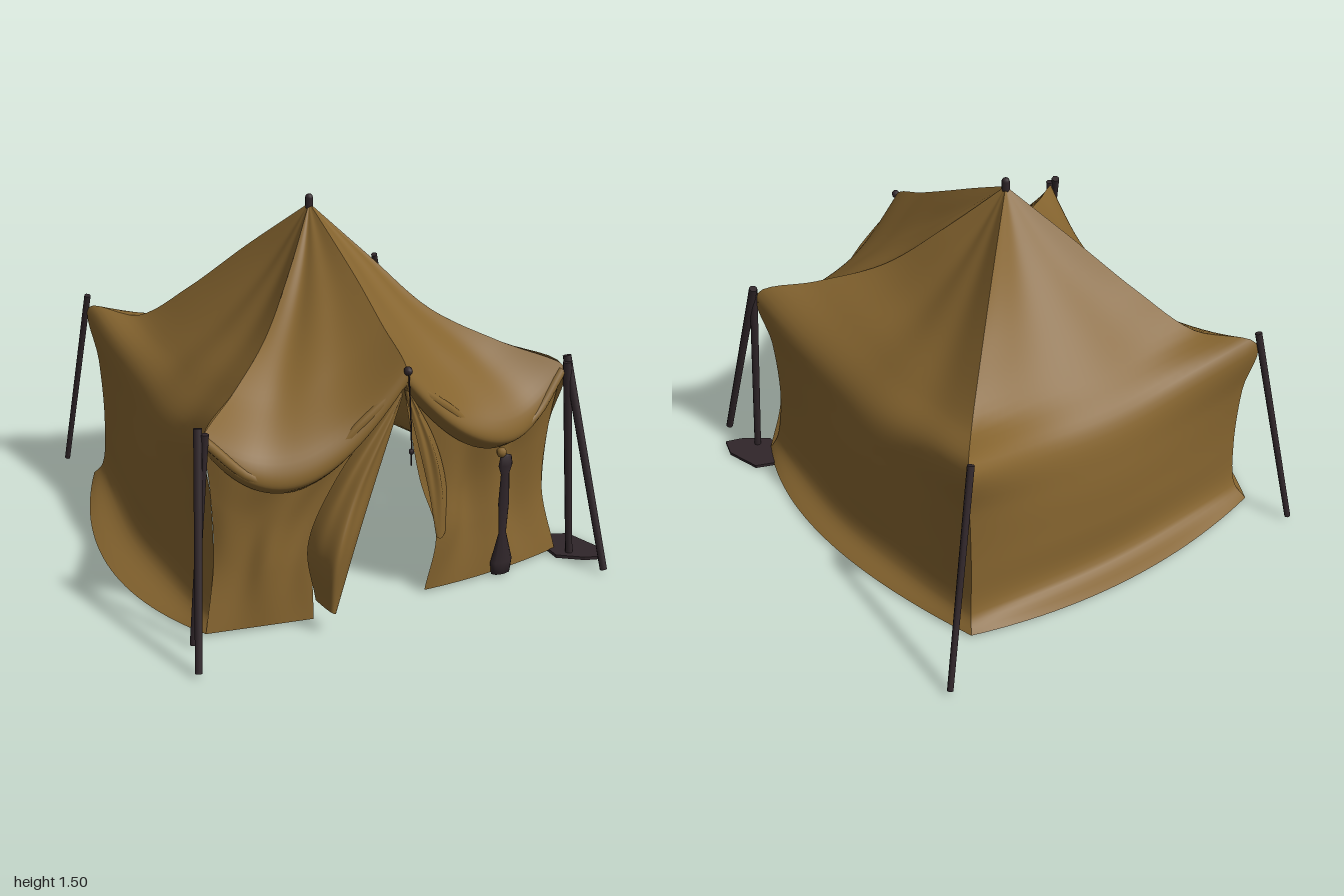
import * as THREE from 'three';

const V = ([x, y, z]) => new THREE.Vector3(x, y, z);
const mirror = (pts) => pts.map(([x, y, z]) => [-x, y, z]);

export function createModel() {
  const group = new THREE.Group();
  group.name = 'tent';
  const canvas = new THREE.MeshStandardMaterial({ color: 0x85642f, side: THREE.DoubleSide });
  canvas.name = 'brown canvas';
  const wood = new THREE.MeshStandardMaterial({ color: 0x30262a });
  wood.name = 'dark wood';

  function add(name, geometry, material, position = [0, 0, 0]) {
    const mesh = new THREE.Mesh(geometry, material);
    mesh.name = name;
    mesh.position.set(...position);
    group.add(mesh);
    return mesh;
  }

  // Cloth panel swept from profile a, through the middle profile m, to profile b
  function cloth(name, a, m, b, fold = 0, waves = 3, nu = 28, nv = 48) {
    const [ca, cm, cb] = [a, m, b].map((p) => new THREE.CatmullRomCurve3(p.map(V), false, 'centripetal'));
    const pos = [], index = [];
    for (let j = 0; j <= nv; j++) {
      const v = j / nv;
      const pa = ca.getPoint(v), pm = cm.getPoint(v), pb = cb.getPoint(v);
      for (let i = 0; i <= nu; i++) {
        const u = i / nu;
        const p = pa.clone().multiplyScalar((1 - u) * (1 - 2 * u))
          .addScaledVector(pm, 4 * u * (1 - u)).addScaledVector(pb, u * (2 * u - 1));
        // soft pleats that fade out at the edges
        const d = fold * Math.sin(waves * Math.PI * (u - 0.5) * (1.3 - 0.6 * v) + 2 * v)
          * Math.sin(Math.PI * u) * Math.sin(Math.PI * v);
        const out = new THREE.Vector3(p.x, 0, p.z).normalize();
        p.addScaledVector(out, d);
        pos.push(p.x, p.y, p.z);
        if (i < nu && j < nv) {
          const k = j * (nu + 1) + i, n = k + nu + 1;
          index.push(k, n, k + 1, k + 1, n, n + 1);
        }
      }
    }
    const g = new THREE.BufferGeometry();
    g.setAttribute('position', new THREE.Float32BufferAttribute(pos, 3));
    g.setIndex(index);
    g.computeVertexNormals();
    return add(name, g, canvas);
  }

  // Profiles from the peak down to the hem; corners are drawn in below the eaves
  const peak = [-0.02, 1.46, 0.02];
  const frontHip = [peak, [0.18, 1.25, 0.18], [0.37, 1.05, 0.36], [0.59, 0.94, 0.56], [0.79, 0.86, 0.73]];
  const frontPost = [[0.755, 0.6, 0.7], [0.745, 0.3, 0.69], [0.77, 0.08, 0.71], [0.8, 0.015, 0.73]];
  const frontLeft = [...frontHip, ...frontPost];
  const frontRight = [peak, ...mirror(frontLeft.slice(1))];
  const backLeft = [peak, [0.19, 1.24, -0.19], [0.38, 1.02, -0.38], [0.55, 0.855, -0.56], [0.71, 0.845, -0.77],
    [0.685, 0.6, -0.74], [0.675, 0.3, -0.73], [0.69, 0.08, -0.745], [0.72, 0.015, -0.79]];
  const backRight = [peak, ...mirror(backLeft.slice(1)).map(([x, y, z]) => [x - 0.025, y, z])];
  const leftMid = [peak, [0.19, 1.19, 0], [0.38, 0.97, 0], [0.56, 0.81, 0], [0.69, 0.68, 0],
    [0.74, 0.5, 0], [0.775, 0.28, 0], [0.81, 0.08, 0.02], [0.91, 0.015, 0.06]];
  const rightMid = [peak, ...mirror(leftMid.slice(1, 8)), [-0.97, 0.015, 0.04]];
  const backMid = [peak, [0, 1.2, -0.19], [0, 1, -0.38], [0, 0.83, -0.56], [0, 0.7, -0.7],
    [0, 0.5, -0.75], [0, 0.28, -0.77], [0, 0.07, -0.79], [0, 0.015, -0.9]];

  cloth('leftSide', frontLeft, leftMid, backLeft, 0.014, 4);
  cloth('backSide', backLeft, backMid, backRight, 0.012, 3);
  cloth('rightSide', backRight, rightMid, frontRight, 0.014, 4);

  // Front roof: two halves meeting at the ridge, drooping into swags
  const ridge = [peak, [-0.01, 1.36, 0.22], [0, 1.25, 0.43], [0, 1.14, 0.64], [0, 1.04, 0.84], [0, 0.98, 0.85], [0, 0.95, 0.81]];
  const swag = [peak, [0.1, 1.28, 0.2], [0.2, 1.1, 0.4], [0.33, 0.91, 0.62], [0.43, 0.73, 0.81], [0.44, 0.64, 0.84], [0.42, 0.59, 0.79]];
  const hipL = [...frontHip, [0.785, 0.82, 0.726], [0.78, 0.79, 0.722]];
  cloth('frontRoofLeft', ridge, swag, hipL, 0.016, 3);
  cloth('frontRoofRight', [peak, ...mirror(hipL.slice(1))], [peak, ...mirror(swag.slice(1))], ridge, 0.016, 3);

  // Rolled edge of the porch
  for (const s of [1, -1]) {
    const path = new THREE.CatmullRomCurve3([[0, 0.98, 0.83], [s * 0.18, 0.84, 0.83], [s * 0.44, 0.63, 0.81],
      [s * 0.62, 0.68, 0.78], [s * 0.785, 0.84, 0.725]].map(V));
    add(s > 0 ? 'porchRollLeft' : 'porchRollRight', new THREE.TubeGeometry(path, 24, 0.02, 8), canvas);
  }

  // Front walls either side of the doorway
  const wallEdge = [[0.79, 0.85, 0.725], ...frontPost.slice(0, 2), frontPost[3]];
  cloth('frontWallLeft',
    [[0.01, 0.95, 0.8], [0.1, 0.52, 0.79], [0.17, 0.27, 0.81], [0.13, 0.015, 0.8]],
    [[0.43, 0.66, 0.78], [0.44, 0.45, 0.75], [0.45, 0.25, 0.76], [0.46, 0.015, 0.79]],
    wallEdge, 0.025, 5);
  cloth('frontWallRight', mirror(wallEdge),
    [[-0.43, 0.66, 0.78], [-0.52, 0.45, 0.75], [-0.56, 0.25, 0.76], [-0.58, 0.015, 0.77]],
    [[-0.01, 0.95, 0.8], [-0.24, 0.55, 0.78], [-0.36, 0.27, 0.79], [-0.37, 0.01, 0.8]], 0.02, 4);

  // Door flaps turned back
  cloth('doorFlapRight',
    [[-0.01, 0.94, 0.81], [-0.28, 0.6, 0.8], [-0.4, 0.35, 0.81], [-0.38, 0.12, 0.84]],
    [[-0.01, 0.93, 0.83], [-0.24, 0.6, 0.9], [-0.35, 0.36, 0.96], [-0.36, 0.11, 0.93]],
    [[0, 0.92, 0.82], [-0.14, 0.58, 0.86], [-0.24, 0.35, 0.9], [-0.33, 0.09, 0.92]], 0.012, 4);
  cloth('doorFlapLeft',
    [[0.01, 0.93, 0.81], [0.07, 0.68, 0.83], [0.12, 0.48, 0.83], [0.16, 0.27, 0.83]],
    [[0.02, 0.93, 0.82], [0.12, 0.68, 0.83], [0.17, 0.48, 0.83], [0.19, 0.26, 0.83]],
    [[0.03, 0.93, 0.81], [0.16, 0.68, 0.8], [0.22, 0.48, 0.79], [0.23, 0.29, 0.79]], 0.008, 4);

  // Corner poles: name, top, foot, radius
  const poles = [
    ['frontRightPole', [-0.81, 0.9, 0.73], [-0.93, 0.02, 0.98], 0.018],
    ['frontRightInnerPole', [-0.79, 0.88, 0.75], [-0.87, 0.01, 0.77], 0.016],
    ['frontLeftPole', [0.81, 0.9, 0.72], [0.88, 0.02, 0.98], 0.018],
    ['frontLeftInnerPole', [0.8, 0.88, 0.74], [0.835, 0.01, 0.79], 0.018],
    ['backLeftPole', [0.7, 0.88, -0.775], [0.955, 0.02, -0.99], 0.015],
    ['backRightPole', [-0.735, 0.9, -0.775], [-0.81, 0.02, -0.99], 0.015],
  ];
  for (const [name, top, foot, r] of poles) {
    const path = new THREE.LineCurve3(V(foot), V(top));
    const pole = add(name, new THREE.CylinderGeometry(r, r * 0.85, path.getLength(), 8), wood);
    pole.position.copy(path.getPoint(0.5));
    pole.quaternion.setFromUnitVectors(new THREE.Vector3(0, 1, 0), path.getTangent(0));
  }

  // Pole tip at the peak, porch knob and its hanging cord
  add('peakTip', new THREE.CapsuleGeometry(0.017, 0.035, 4, 8), wood, [-0.02, 1.465, 0.02]);
  add('porchKnob', new THREE.SphereGeometry(0.018, 8, 6), wood, [0, 1.03, 0.855]);
  const cord = new THREE.CatmullRomCurve3([[0, 1.02, 0.86], [0.01, 0.85, 0.865], [0.02, 0.7, 0.86], [0.02, 0.63, 0.86]].map(V));
  add('porchCord', new THREE.TubeGeometry(cord, 12, 0.003, 5), wood);
  add('cordKnot', new THREE.SphereGeometry(0.012, 6, 5), wood, [0.02, 0.69, 0.86]);

  // Tied dark strap hanging by the door
  const strap = [[0, 0], [0.045, 0.005], [0.052, 0.06], [0.018, 0.19], [0.026, 0.33], [0.02, 0.46], [0.033, 0.5], [0.026, 0.54], [0, 0.55]];
  add('hangingStrap', new THREE.LatheGeometry(strap.map(([r, y]) => new THREE.Vector2(r, y)), 8), wood, [0.487, 0.01, 0.805])
    .scale.z = 0.5;
  add('strapTie', new THREE.SphereGeometry(0.022, 7, 5), canvas, [0.465, 0.57, 0.805]);

  // Flat sack lying on the ground, outlined in x and z
  const outline = [[0.77, 0.7], [0.84, 0.62], [0.92, 0.65], [0.97, 0.8], [0.95, 0.885], [0.87, 0.86], [0.77, 0.79]];
  const sack = new THREE.Shape(outline.map(([x, z]) => new THREE.Vector2(x, -z)));
  const sackGeometry = new THREE.ExtrudeGeometry(sack, { depth: 0.014, bevelEnabled: false });
  add('groundSack', sackGeometry.rotateX(-Math.PI / 2), wood, [0, 0.004, 0]);

  return group;
}
